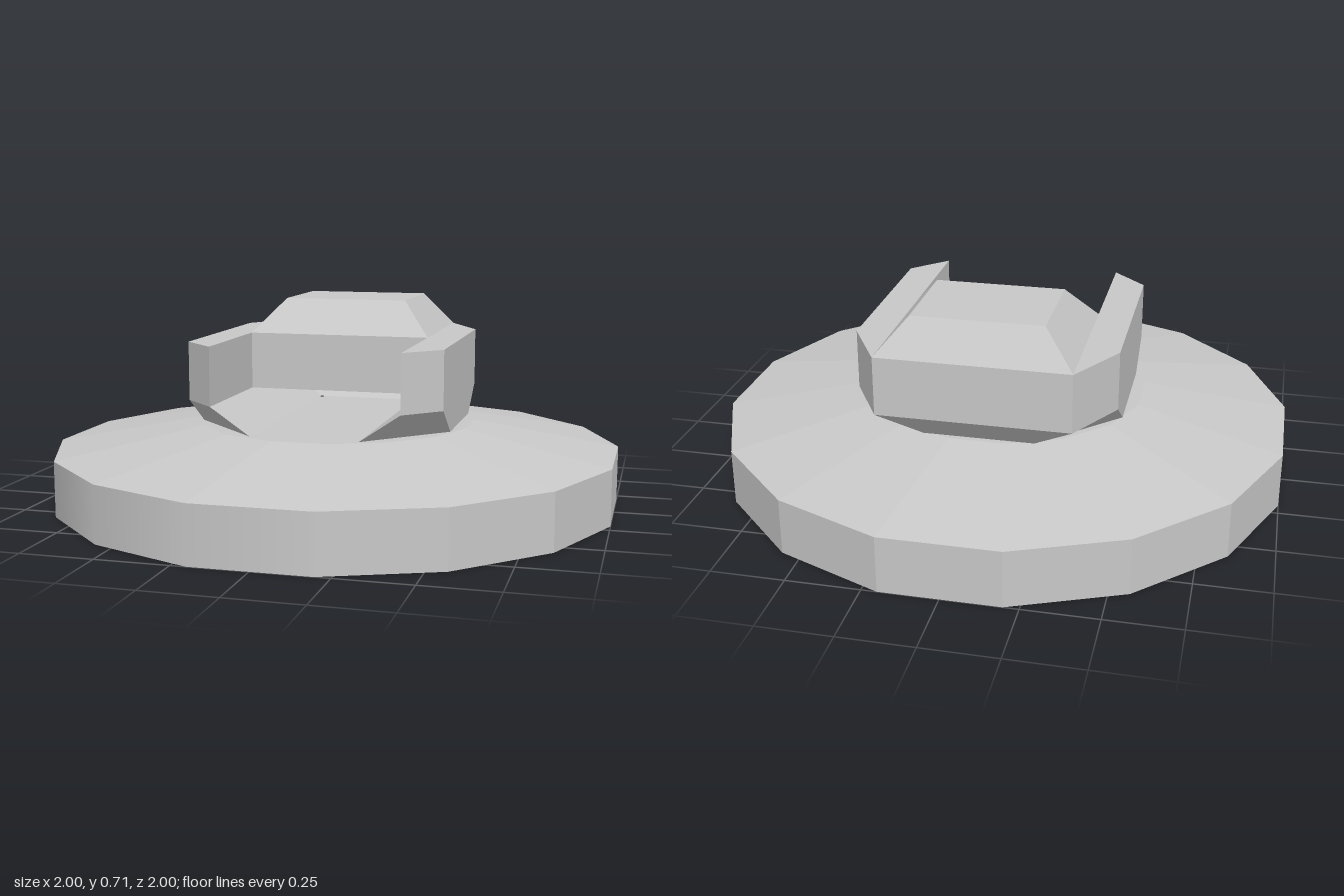
import * as THREE from 'three';

const grey = new THREE.MeshStandardMaterial({ color: 0xc8c8c8, side: THREE.DoubleSide });
grey.name = 'light grey';

function addPart(group, name, geometry) {
  const mesh = new THREE.Mesh(geometry, grey);
  mesh.name = name;
  group.add(mesh);
  return mesh;
}

// Flat-faced solid through rings {y, points: [x, z]} listed bottom to top,
// each ring running counterclockwise as seen from above.
function loft(rings) {
  const pos = [];
  const at = (r, i) => {
    const [x, z] = r.points[i % r.points.length];
    return [x, r.y, z];
  };
  const tri = (a, b, c) => pos.push(...a, ...b, ...c);
  const n = rings[0].points.length;
  for (let k = 0; k + 1 < rings.length; k++) {
    const lo = rings[k], hi = rings[k + 1];
    for (let i = 0; i < n; i++) {
      tri(at(lo, i), at(lo, i + 1), at(hi, i + 1));
      tri(at(lo, i), at(hi, i + 1), at(hi, i));
    }
  }
  const bottom = rings[0], top = rings[rings.length - 1];
  for (let i = 1; i + 1 < n; i++) {
    tri(at(top, 0), at(top, i), at(top, i + 1));
    tri(at(bottom, 0), at(bottom, i + 1), at(bottom, i));
  }
  const g = new THREE.BufferGeometry();
  g.setAttribute('position', new THREE.Float32BufferAttribute(pos, 3));
  g.computeVertexNormals();
  return g;
}

function flat(geometry) {
  const g = geometry.toNonIndexed();
  g.computeVertexNormals();
  return g;
}

const rect = (x, back, front) => [[-x, front], [x, front], [x, back], [-x, back]];

export function createModel() {
  const model = new THREE.Group();
  model.name = 'discTurret';

  // Hollow sixteen-sided base: faceted rim with one smooth quarter, sloped deck, flat centre
  const R = 1.0196, r = 0.5, rimY = 0.195, deckY = 0.29, step = Math.PI / 16;
  const rim = (segs, start) =>
    new THREE.CylinderGeometry(R, R, rimY, segs, 1, true, start, segs * 2 * step)
      .translate(0, rimY / 2, 0);
  addPart(model, 'facetedRim', flat(rim(12, step)));
  addPart(model, 'smoothRim', rim(4, -7 * step));
  addPart(model, 'slopedDeck', flat(
    new THREE.CylinderGeometry(r, R, deckY - rimY, 16, 1, true, step)
      .translate(0, (rimY + deckY) / 2, 0)));
  addPart(model, 'deckCentre',
    new THREE.CircleGeometry(r, 16, step).rotateX(-Math.PI / 2).translate(0, deckY, 0));

  // Side arms with undercut corners and a sloping inner foot
  const foot = [[0.19, 0.43], [0.45, 0.17], [0.45, -0.21], [0.19, -0.47]];
  const wall = [[0.33, 0.43], [0.45, 0.31], [0.45, -0.35], [0.33, -0.56]];
  for (const side of [1, -1]) {
    const mirror = (p) => side > 0 ? p : p.map(([x, z]) => [-x, z]).reverse();
    addPart(model, side > 0 ? 'leftArm' : 'rightArm', loft([
      { y: deckY, points: mirror(foot) },
      { y: 0.385, points: mirror(wall) },
      { y: 0.59, points: mirror(wall) },
    ]));
  }

  // Raised rear block with bevelled roof
  addPart(model, 'rearBlock', loft([
    { y: 0.385, points: rect(0.33, -0.56, -0.02) },
    { y: 0.59, points: rect(0.33, -0.56, -0.02) },
    { y: 0.712, points: rect(0.225, -0.475, -0.125) },
  ]));

  // Slanted panel closing the space under the block at the back
  const panel = new THREE.PlaneGeometry(1, 1);
  const p = panel.attributes.position;
  [[0.33, 0.385, -0.56], [-0.33, 0.385, -0.56], [0.19, deckY, -0.47], [-0.19, deckY, -0.47]]
    .forEach((v, i) => p.setXYZ(i, ...v));
  panel.computeVertexNormals();
  addPart(model, 'rearUndercut', panel);

  return model;
}
